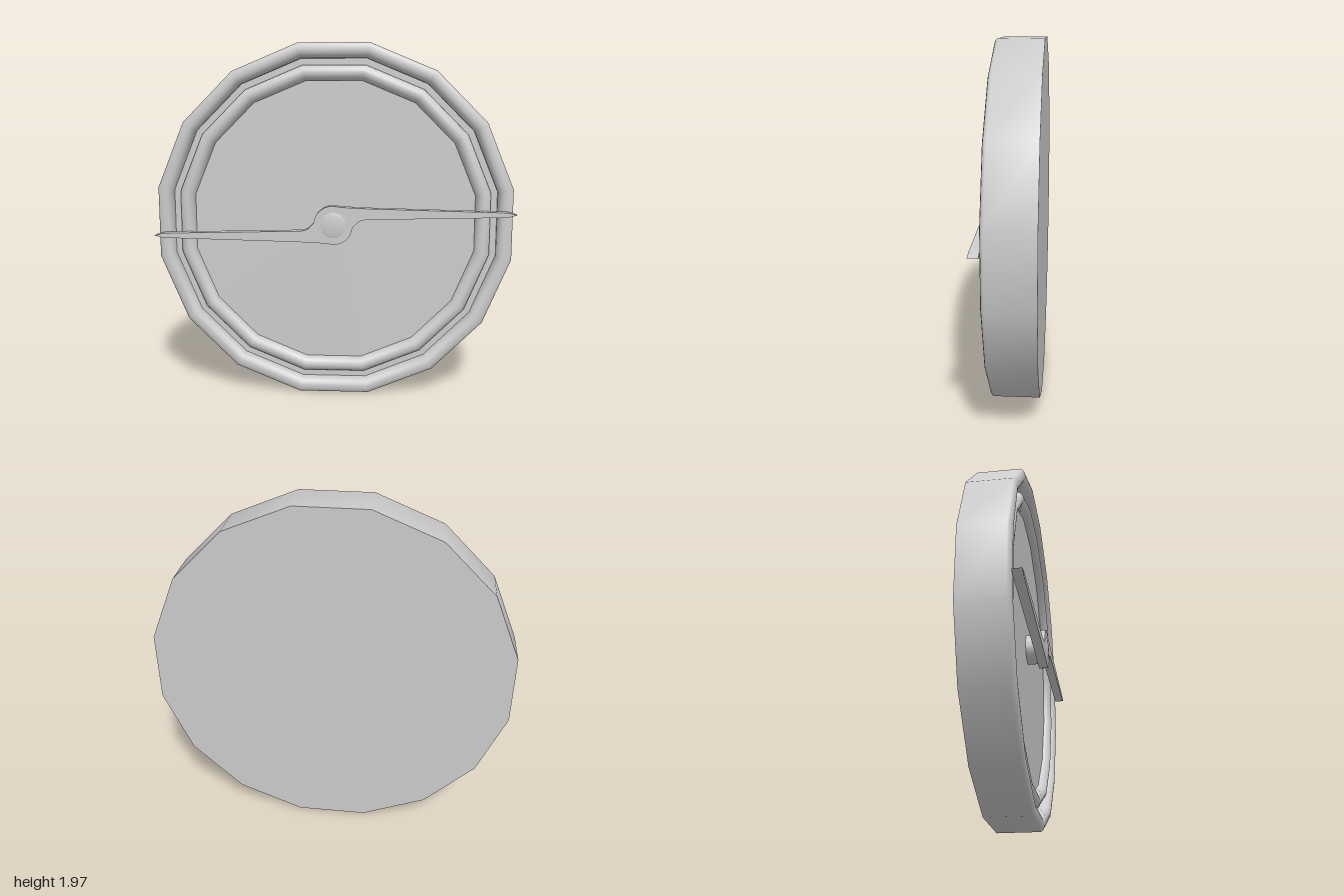
import * as THREE from 'three';
import { toCreasedNormals } from 'three/addons/utils/BufferGeometryUtils.js';

const SIDES = 16;
const APOTHEM = 0.987;
const FACE_Z = 0.04;

// Revolves [radius, z] points about the z axis, keeping sharp edges sharp
function revolve(points, sides) {
  const step = (Math.PI * 2) / sides;
  const profile = points.map(([r, z]) => new THREE.Vector2(r, z));
  const geometry = new THREE.LatheGeometry(profile, sides, step / 2);
  geometry.rotateX(Math.PI / 2);
  return toCreasedNormals(geometry, 0.6);
}

// Rounded ridge standing on the face, listed from outside to inside
function ridge(outer, inner, top, steps = 10) {
  const mid = (outer + inner) / 2, half = (outer - inner) / 2;
  return Array.from({ length: steps + 1 }, (_, i) => {
    const a = (Math.PI * i) / steps;
    return [mid + half * Math.cos(a), FACE_Z + (top - FACE_Z) * Math.sin(a)];
  });
}

export function createModel() {
  const model = new THREE.Group();
  const material = new THREE.MeshStandardMaterial({ color: 0xcccccc });
  const add = (name, geometry) => {
    const mesh = new THREE.Mesh(geometry, material);
    mesh.name = name;
    mesh.position.y = APOTHEM;
    model.add(mesh);
  };

  // Sixteen-sided case: flat back, rounded rim, groove, inner ridge, recessed face
  const k = 1 / Math.cos(Math.PI / SIDES);
  const body = [
    [0, -0.16], [APOTHEM, -0.16], [APOTHEM, 0.08],
    [0.983, 0.089], [0.975, 0.096], [0.962, 0.1], [0.945, 0.102],
    [0.93, 0.099], [0.918, 0.091], [0.909, 0.077], [0.905, 0.06], [0.905, FACE_Z],
    ...ridge(0.87, 0.785, 0.085),
    [0, FACE_Z],
  ].map(([r, z]) => [r * k, z]);
  add('case', revolve(body, SIDES));

  // Double-ended pointer: half the outline, then the same half turned by 180 degrees
  const half = [[0.06, 0.1], [0.2, 0.094], [0.95, 0.078], [1.0, 0.066], [0.95, 0.052],
    [0.18, 0.033], [0.155, 0.028], [0.135, 0.018], [0.122, 0.003]];
  for (let i = 0; i <= 8; i++) {
    const a = -0.1 - (i / 8) * 1.4;
    half.push([0.108 * Math.cos(a), 0.108 * Math.sin(a)]);
  }
  const outline = [...half, ...half.map(([x, y]) => [-x, -y])]
    .map(([x, y]) => new THREE.Vector2(x, y));
  const pointer = new THREE.ExtrudeGeometry(new THREE.Shape(outline), { depth: 0.05, bevelEnabled: false });
  pointer.translate(0, 0, 0.102);
  add('pointer', toCreasedNormals(pointer, 0.5));

  // Pivot post with a slightly domed cap
  const r = 0.083;
  add('pivot', revolve([
    [0, FACE_Z - 0.01], [r, FACE_Z - 0.01], [r, 0.147],
    [r * 0.9, 0.151], [r * 0.7, 0.155], [r * 0.4, 0.158], [0, 0.16],
  ], 32));

  return model;
}
